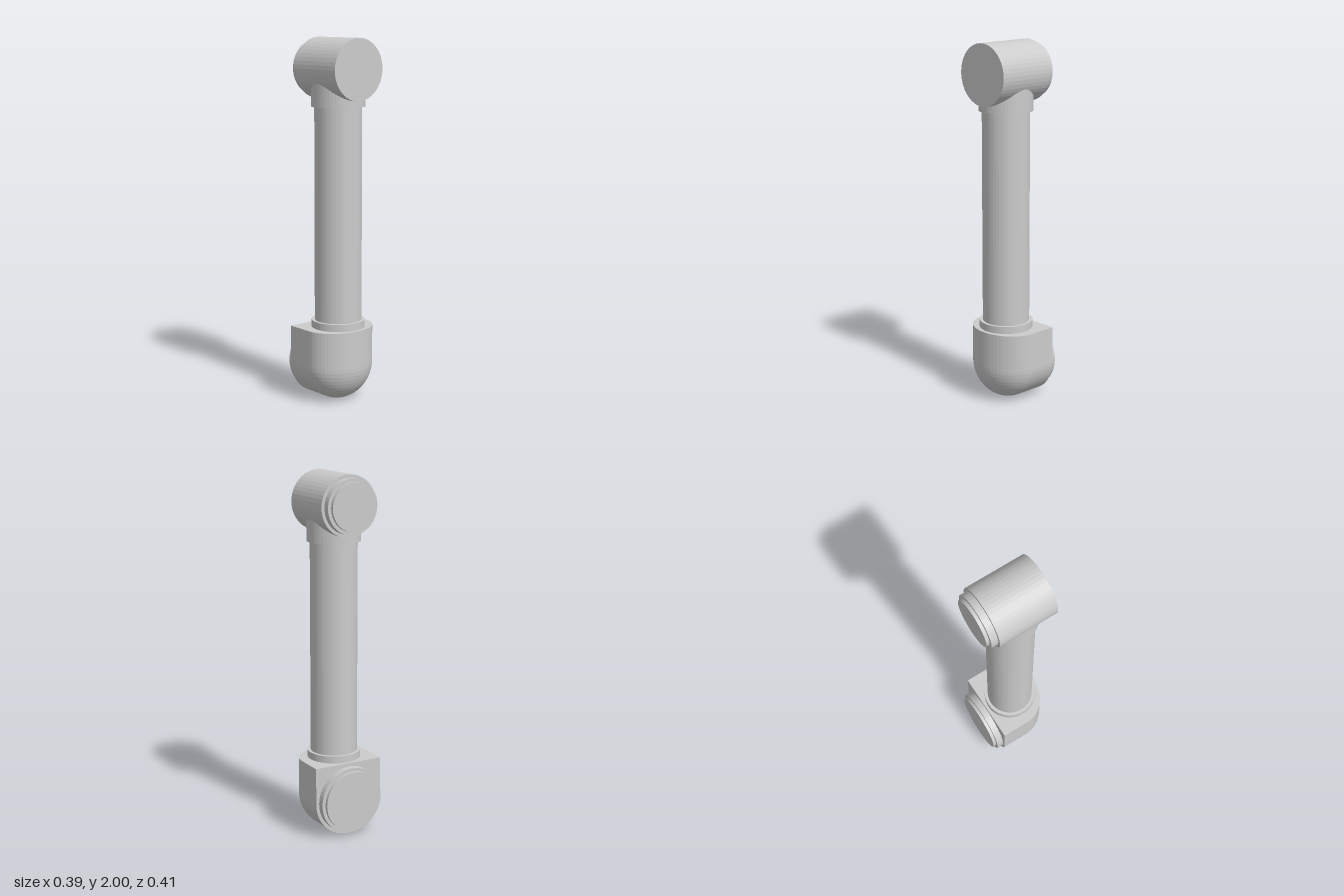
import * as THREE from 'three';

const SEG = 48;
const AXIS_X = 0.025; // x of the upright link's axis
const material = new THREE.MeshStandardMaterial({ color: 0xcccccc, flatShading: true });

function add(group, name, geometry) {
  const mesh = new THREE.Mesh(geometry, material);
  mesh.name = name;
  group.add(mesh);
}

// Upright cylinder between two heights
function upright(radius, y0, y1) {
  return new THREE.CylinderGeometry(radius, radius, y1 - y0, SEG).translate(AXIS_X, (y0 + y1) / 2, 0);
}

// Sideways cylinder between two x positions
function sideways(radius, x0, x1, y) {
  return new THREE.CylinderGeometry(radius, radius, x1 - x0, SEG)
    .rotateZ(Math.PI / 2)
    .translate((x0 + x1) / 2, y, 0);
}

// Stepped mounting flange on the -x side of a joint
function addFlange(group, name, y, outer, inner) {
  const flange = new THREE.Group();
  flange.name = name;
  add(flange, 'outerRing', sideways(outer, -0.178, -0.14, y));
  add(flange, 'innerDisc', sideways(inner, -0.196, -0.178, y));
  group.add(flange);
}

// Elbow housing: U-shaped block running into a rounded, slightly flattened end
function createElbow() {
  const r = 0.205, top = 0.41;
  const elbow = new THREE.Group();
  elbow.name = 'elbowHousing';

  const section = new THREE.Shape();
  section.moveTo(r, top);
  section.lineTo(-r, top);
  section.lineTo(-r, r);
  section.absarc(0, r, r, Math.PI, Math.PI * 2, false);
  section.closePath();
  const block = new THREE.ExtrudeGeometry(section, { depth: 0.165, bevelEnabled: false, curveSegments: 24 })
    .rotateY(-Math.PI / 2)
    .translate(AXIS_X, 0, 0);
  add(elbow, 'elbowBlock', block);

  const profile = [];
  for (let i = 0; i <= 14; i++) {
    const a = (i / 14) * Math.PI / 2;
    profile.push(new THREE.Vector2(r * Math.sin(a), r - r * Math.cos(a)));
  }
  profile.push(new THREE.Vector2(r, top), new THREE.Vector2(0, top));
  const end = new THREE.LatheGeometry(profile, 28, 0, Math.PI)
    .scale(0.17 / r, 1, 1)
    .translate(AXIS_X, 0, 0);
  add(elbow, 'elbowRoundedEnd', end);
  return elbow;
}

export function createModel() {
  const model = new THREE.Group();
  model.name = 'armLink';

  // Lower joint
  model.add(createElbow());
  addFlange(model, 'lowerFlange', 0.205, 0.187, 0.168);

  // Link tube with its collars
  add(model, 'lowerCollar', upright(0.148, 0.41, 0.45));
  add(model, 'linkTube', upright(0.13, 0.45, 1.63));
  add(model, 'upperCollar', upright(0.148, 1.63, 1.83));

  // Upper joint
  add(model, 'upperJoint', sideways(0.167, -0.14, 0.195, 1.833));
  addFlange(model, 'upperFlange', 1.833, 0.15, 0.131);

  return model;
}
